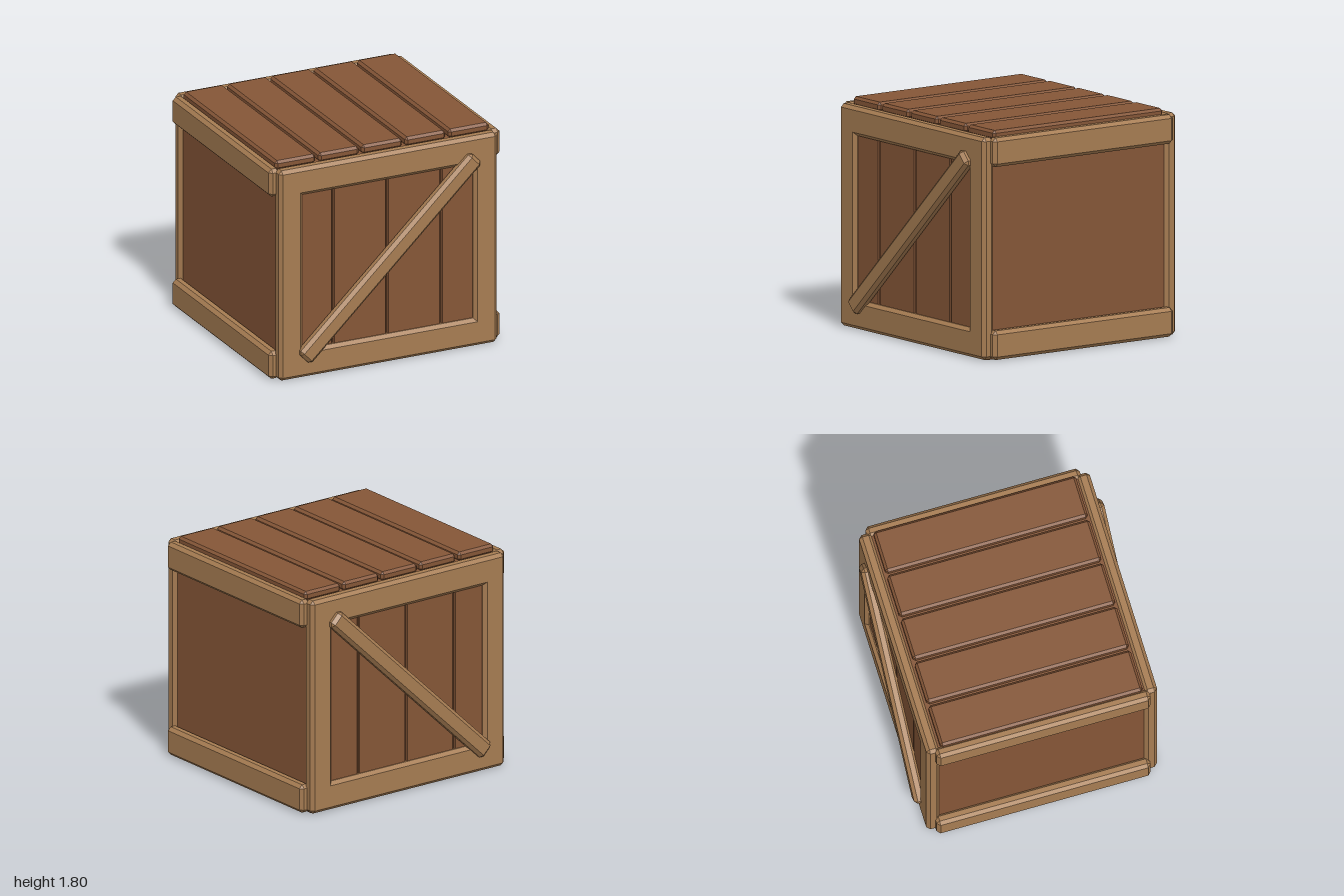
import * as THREE from 'three';
import { ConvexGeometry } from 'three/addons/geometries/ConvexGeometry.js';

const frameWood = new THREE.MeshStandardMaterial({ name: 'frame wood', color: 0xa67c52 });
const plankWood = new THREE.MeshStandardMaterial({ name: 'plank wood', color: 0x855637 });

// Box with all its edges chamfered by b, given its lower and upper corners
function board(name, material, [x0, y0, z0], [x1, y1, z1], b) {
  const h = [(x1 - x0) / 2, (y1 - y0) / 2, (z1 - z0) / 2];
  const points = [];
  for (const sx of [-1, 1]) for (const sy of [-1, 1]) for (const sz of [-1, 1]) {
    for (let full = 0; full < 3; full++) {
      const [x, y, z] = h.map((v, i) => (i === full ? v : v - b));
      points.push(new THREE.Vector3(sx * x, sy * y, sz * z));
    }
  }
  const mesh = new THREE.Mesh(new ConvexGeometry(points), material);
  mesh.name = name;
  mesh.position.set((x0 + x1) / 2, (y0 + y1) / 2, (z0 + z1) / 2);
  return mesh;
}

export function createModel() {
  const crate = new THREE.Group();
  crate.name = 'crate';
  const TOP = 1.76, LOW = 0.005, BEVEL = 0.027;
  const railHeights = [[LOW, 0.235], [1.53, TOP]];

  // Plain inner body, visible on the sides and underneath
  const body = new THREE.Mesh(new THREE.BoxGeometry(1.83, 1.74, 1.76), plankWood);
  body.name = 'body';
  body.position.y = 0.87;
  crate.add(body);

  // Lid planks
  for (let i = -2; i <= 2; i++) {
    const x = i * 0.375;
    crate.add(board('lidPlank', plankWood, [x - 0.175, 1.73, -0.82], [x + 0.175, 1.805, 0.82], 0.02));
  }

  // Front and back ends are built alike, mirrored in z
  for (const s of [-1, 1]) {
    const zRange = (a, b) => (s > 0 ? [a, b] : [-b, -a]);

    // Upright planks behind the frame
    const [p0, p1] = zRange(0.84, 0.9);
    for (let i = 0; i < 4; i++) {
      const x = (i - 1.5) * 0.467;
      const w = 0.229;
      const xa = Math.max(x - w, -0.915), xb = Math.min(x + w, 0.915);
      crate.add(board('endPlank', plankWood, [xa, 0, p0], [xb, 1.73, p1], 0.008));
    }

    // Corner posts and cross rails
    const [f0, f1] = zRange(0.83, 0.935);
    for (const [x0, x1] of [[-0.945, -0.74], [0.74, 0.945]]) {
      crate.add(board('cornerPost', frameWood, [x0, LOW, f0], [x1, TOP, f1], BEVEL));
    }
    for (const [y0, y1] of railHeights) {
      crate.add(board('endRail', frameWood, [-0.8, y0, f0], [0.8, y1, f1], BEVEL));
    }

    // Diagonal brace
    const [b0, b1] = zRange(0.89, 0.985);
    const brace = board('diagonalBrace', frameWood, [-1.03, -0.073, b0], [1.03, 0.073, b1], BEVEL);
    brace.position.y = 0.883;
    brace.rotation.z = 0.763;
    crate.add(brace);
  }

  // Side rails
  for (const [x0, x1] of [[-1, -0.905], [0.905, 1]]) {
    for (const [y0, y1] of railHeights) {
      crate.add(board('sideRail', frameWood, [x0, y0, -0.868], [x1, y1, 0.868], BEVEL));
    }
  }
  return crate;
}
